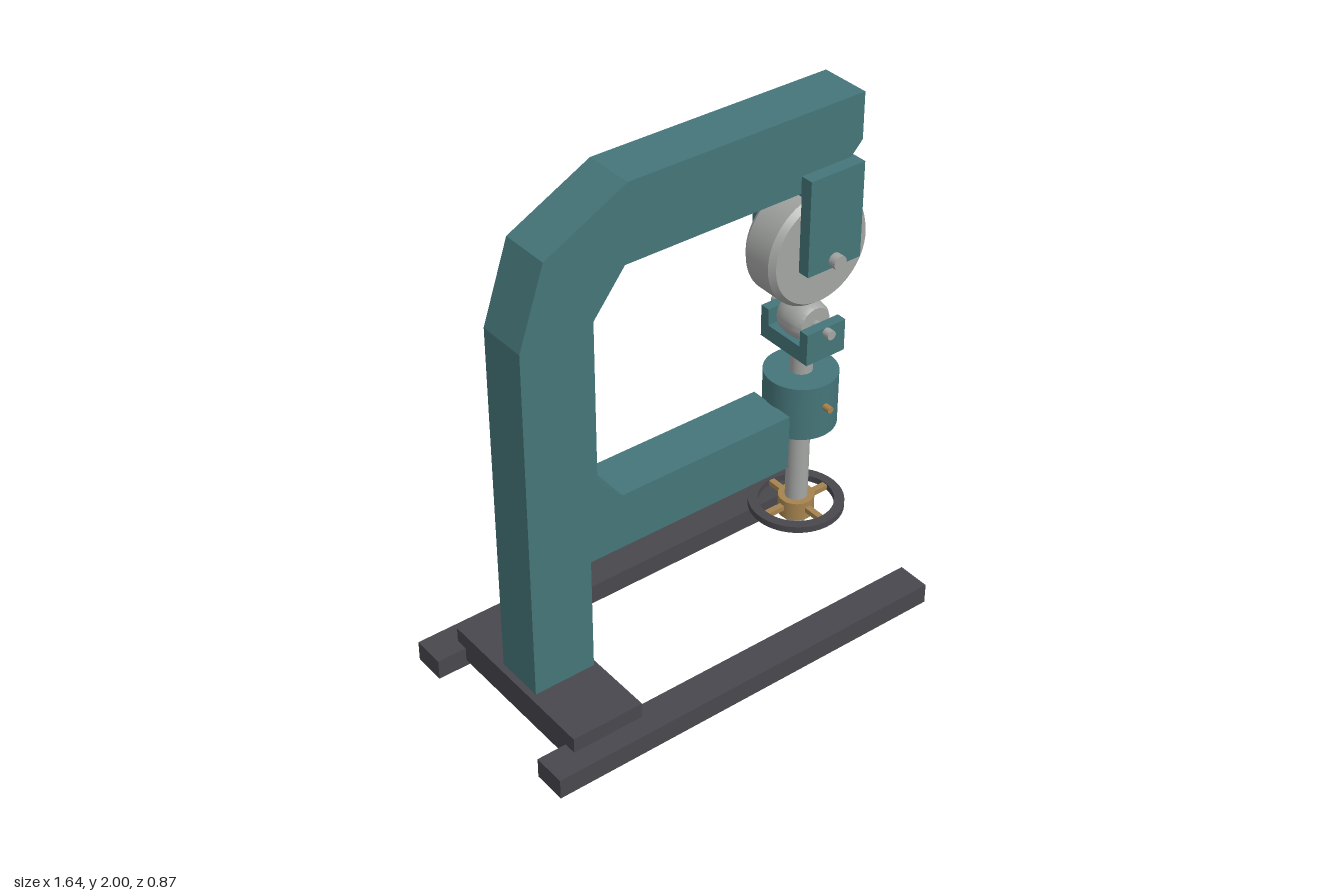
import * as THREE from 'three';
import { toCreasedNormals } from 'three/addons/utils/BufferGeometryUtils.js';

const material = (name, color) => {
  const m = new THREE.MeshStandardMaterial({ color });
  m.name = name;
  return m;
};

export function createModel() {
  const model = new THREE.Group();
  model.name = 'wheelingMachine';
  const teal = material('teal paint', 0x457579);
  const dark = material('dark steel', 0x47474d);
  const steel = material('bare steel', 0xa3a5a3);
  const brass = material('brass', 0xa5834e);
  const X = 0.555; // axis of the wheels and the screw

  const add = (name, geometry, mat, x = 0, y = 0, z = 0) => {
    const mesh = new THREE.Mesh(geometry, mat);
    mesh.name = name;
    mesh.position.set(x, y, z);
    model.add(mesh);
    return mesh;
  };
  // Box given by its limits on each axis
  const box = (name, mat, [x0, x1], [y0, y1], [z0, z1]) =>
    add(name, new THREE.BoxGeometry(x1 - x0, y1 - y0, z1 - z0), mat, (x0 + x1) / 2, (y0 + y1) / 2, (z0 + z1) / 2);
  const upright = (name, mat, r, y0, y1, sides = 40) =>
    add(name, new THREE.CylinderGeometry(r, r, y1 - y0, sides), mat, X, (y0 + y1) / 2, 0);
  // Pin running front to back
  const pin = (name, mat, r, halfLength, y) =>
    add(name, new THREE.CylinderGeometry(r, r, halfLength * 2, 16).rotateX(Math.PI / 2), mat, X, y, 0);
  const extrude = (shape, depth) =>
    new THREE.ExtrudeGeometry(shape, { depth, bevelEnabled: false, curveSegments: 32 }).translate(0, 0, -depth / 2);
  const points = (list) => list.map(([x, y]) => new THREE.Vector2(x, y));
  // Roller turned about the z axis
  const roller = (name, profile, y) =>
    add(name, toCreasedNormals(new THREE.LatheGeometry(points(profile), 64).rotateX(Math.PI / 2), 0.5), steel, X, y, 0);

  // Base
  for (const s of [-1, 1]) {
    const z = s > 0 ? [0.305, 0.435] : [-0.435, -0.305];
    box('baseRail', dark, [-0.82, 0.82], [0, 0.08], z);
  }
  box('basePlate', dark, [-0.705, -0.42], [0.025, 0.14], [-0.355, 0.355]);

  // C-shaped frame with lower arm
  add('frame', extrude(new THREE.Shape(points([
    [-0.68, 0.14], [-0.435, 0.14], [-0.435, 0.6], [0.425, 0.6], [0.425, 0.82], [-0.3, 0.82],
    [-0.4, 0.92], [-0.4, 1.55], [-0.275, 1.71], [0.59, 1.71], [0.7, 1.825], [0.7, 2],
    [-0.26, 2], [-0.58, 1.835], [-0.68, 1.54],
  ])), 0.195), teal);

  // Upper fork and wheel
  box('upperForkTop', teal, [0.44, 0.67], [1.7, 1.775], [-0.147, 0.147]);
  for (const s of [-1, 1]) {
    const z = s > 0 ? [0.1, 0.147] : [-0.147, -0.1];
    box('upperForkCheek', teal, [0.44, 0.67], [1.41, 1.7], z);
  }
  roller('upperWheel', [[0, -0.08], [0.198, -0.08], [0.215, -0.058], [0.215, 0.058], [0.198, 0.08], [0, 0.08]], 1.44);
  pin('upperAxle', steel, 0.027, 0.178, 1.44);

  // Lower fork and crowned anvil roller
  box('lowerForkFloor', teal, [0.47, 0.64], [1.03, 1.09], [-0.123, 0.123]);
  for (const s of [-1, 1]) {
    const z = s > 0 ? [0.084, 0.123] : [-0.123, -0.084];
    box('lowerForkCheek', teal, [0.47, 0.64], [1.09, 1.155], z);
  }
  roller('anvilRoller', [[0, -0.066], [0.064, -0.066], [0.074, -0.05], [0.079, -0.02],
    [0.079, 0.02], [0.074, 0.05], [0.064, 0.066], [0, 0.066]], 1.137);
  pin('anvilAxle', steel, 0.018, 0.152, 1.137);

  // Screw, its collar and set screws
  upright('screw', steel, 0.042, 0.26, 1.04);
  upright('collar', teal, 0.135, 0.705, 0.92, 48);
  pin('setScrew', brass, 0.013, 0.165, 0.83);

  // Handwheel
  const ring = new THREE.Shape().absarc(0, 0, 0.177, 0, Math.PI * 2);
  ring.holes.push(new THREE.Path().absarc(0, 0, 0.14, 0, Math.PI * 2, true));
  add('handwheelRim', toCreasedNormals(extrude(ring, 0.026).rotateX(Math.PI / 2), 0.5), dark, X, 0.333, 0);
  upright('handwheelHub', brass, 0.067, 0.29, 0.365);
  for (let i = 0; i < 4; i++) {
    const spoke = new THREE.BoxGeometry(0.1, 0.02, 0.024).translate(0.1, 0, 0).rotateY(i * Math.PI / 2);
    add('handwheelSpoke', spoke, brass, X, 0.333, 0);
  }
  return model;
}
